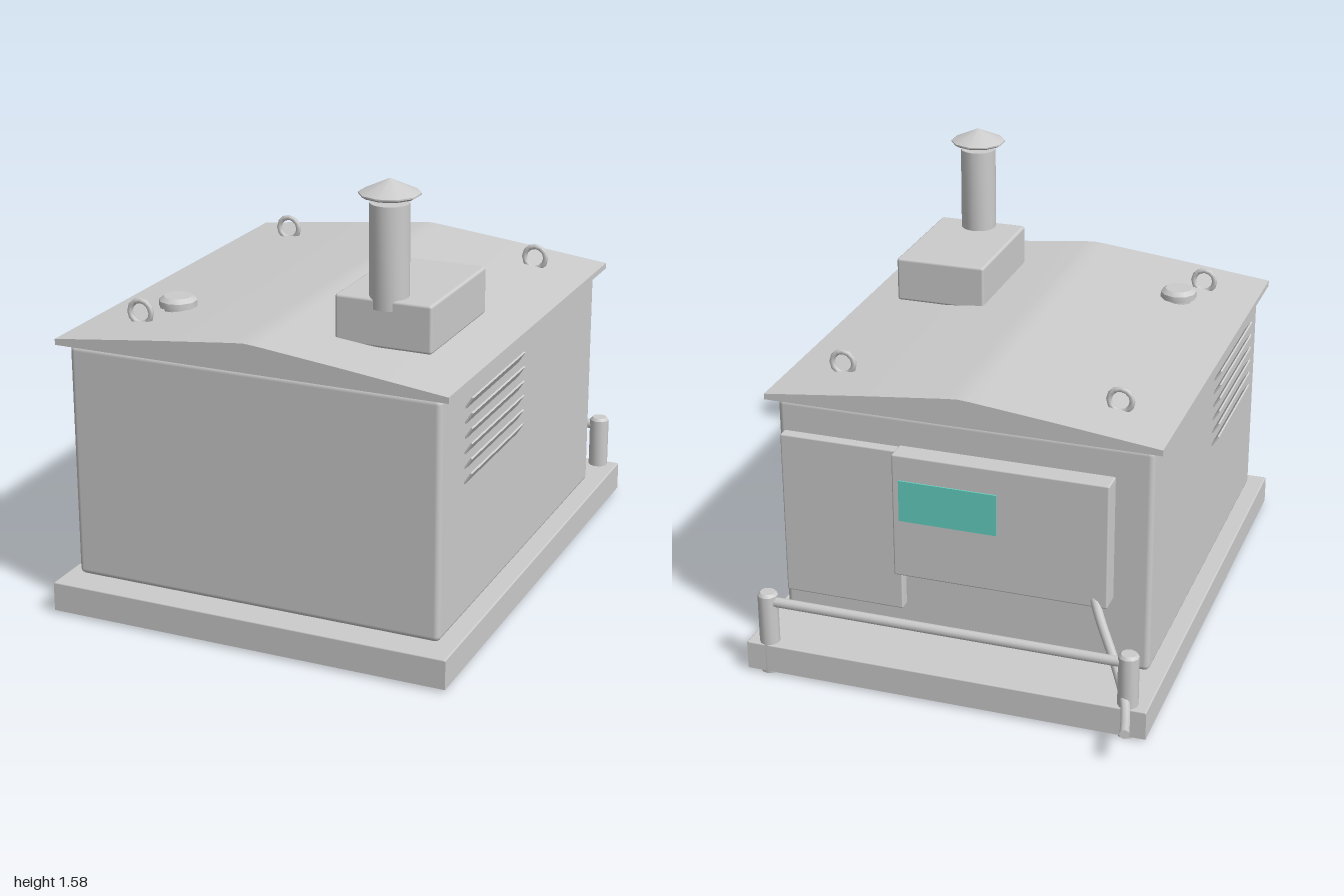
import * as THREE from 'three';
import { toCreasedNormals } from 'three/addons/utils/BufferGeometryUtils.js';
import { RoundedBoxGeometry } from 'three/addons/geometries/RoundedBoxGeometry.js';

export function createModel() {
  const model = new THREE.Group();
  model.name = 'generatorHousing';

  const grey = new THREE.MeshStandardMaterial({ color: 0xcccccc });
  grey.name = 'paintedMetalGrey';
  const teal = new THREE.MeshStandardMaterial({ color: 0x65d4c4 });
  teal.name = 'displayTeal';

  const add = (name, geometry, x = 0, y = 0, z = 0, material = grey) => {
    const mesh = new THREE.Mesh(geometry, material);
    mesh.name = name;
    mesh.position.set(x, y, z);
    model.add(mesh);
    return mesh;
  };

  // Box given by its limits on each axis, with softened edges when r > 0
  const block = (name, [x0, x1], [y0, y1], [z0, z1], r = 0, material = grey) => {
    const size = [x1 - x0, y1 - y0, z1 - z0];
    const geometry = r ? new RoundedBoxGeometry(...size, 2, r) : new THREE.BoxGeometry(...size);
    return add(name, geometry, (x0 + x1) / 2, (y0 + y1) / 2, (z0 + z1) / 2, material);
  };

  // Turned part from [radius, height] pairs, listed from the bottom up
  const turned = (name, profile, x, y, z, sides = 10) => {
    const points = profile.map(([r, h]) => new THREE.Vector2(r, h));
    const geometry = new THREE.LatheGeometry(points, sides);
    return add(name, toCreasedNormals(geometry, 0.66), x, y, z);
  };

  // Base: deck on a hollow skirt, open below
  block('baseDeck', [-0.725, 0.725], [0.1, 0.115], [-0.84, 1], 0.005);
  for (const s of [-1, 1]) {
    block('baseSideWall', [s * 0.72 - 0.005, s * 0.72 + 0.005], [0.01, 0.11], [-0.84, 1]);
  }
  block('baseFrontWall', [-0.72, 0.72], [0.01, 0.11], [0.99, 1]);
  block('baseBackWall', [-0.72, 0.72], [0.01, 0.11], [-0.84, -0.83]);

  // Main enclosure
  block('body', [-0.67, 0.67], [0.125, 0.96], [-0.61, 0.92], 0.02);

  // Low gabled roof
  const gable = new THREE.Shape([
    [-0.705, 0.965], [0.705, 0.965], [0.705, 0.986], [0.35, 1.028], [0.04, 1.062],
    [0, 1.065], [-0.04, 1.062], [-0.35, 1.028], [-0.705, 0.986],
  ].map(([x, y]) => new THREE.Vector2(x, y)));
  const roof = new THREE.ExtrudeGeometry(gable, { depth: 1.59, bevelEnabled: false });
  add('roof', toCreasedNormals(roof, 0.3), 0, 0, -0.64);

  // Slanted louvre slats on both sides
  for (const s of [-1, 1]) {
    for (let i = 0; i < 6; i++) {
      const slat = add('louvreSlat', new THREE.BoxGeometry(0.006, 0.046, 0.495),
        s * 0.682, 0.885 - i * 0.052, 0.467);
      slat.rotation.z = -s * 0.56;
    }
  }

  // Exhaust housing, stack and rain cap
  block('exhaustHousing', [0.21, 0.55], [1.025, 1.19], [0.22, 0.71], 0.01);
  turned('exhaustStack', [[0, 0], [0.066, 0], [0.066, 0.345], [0, 0.345]], 0.38, 1.155, 0.655, 16);
  turned('rainCap', [[0, 0], [0.088, 0], [0.102, 0.008], [0.102, 0.013], [0, 0.06]], 0.38, 1.52, 0.655);

  // Filler cap on the roof
  turned('fillerCap', [[0, 0], [0.05, 0], [0.05, 0.025], [0.067, 0.028], [0.067, 0.05], [0.05, 0.064], [0, 0.064]],
    -0.44, 1, 0.575);

  // Lifting eyes
  for (const [x, z] of [[-0.5, 0.73], [-0.5, -0.425], [0.5, -0.425]]) {
    add('liftingEye', new THREE.TorusGeometry(0.041, 0.01, 8, 12), x, 1.042, z);
  }

  // Rear door, control cabinet and display
  block('rearDoor', [0.21, 0.65], [0.235, 0.845], [-0.647, -0.6], 0.006);
  block('controlCabinet', [-0.54, 0.225], [0.39, 0.85], [-0.686, -0.6], 0.006);
  block('display', [-0.15, 0.2], [0.605, 0.757], [-0.691, -0.684], 0, teal);

  // Rear guard rail on two posts
  for (const x of [-0.652, 0.652]) {
    turned('railPost', [[0, 0], [0.036, 0], [0.036, 0.3], [0.027, 0.31], [0, 0.31]], x, 0, -0.805);
  }
  const rail = add('guardRail', new THREE.CylinderGeometry(0.018, 0.018, 1.3, 10), 0, 0.275, -0.808);
  rail.rotation.z = Math.PI / 2;

  // Cable running from the cabinet out over the base
  const path = new THREE.CatmullRomCurve3([
    [-0.48, 0.44, -0.66], [-0.52, 0.36, -0.7], [-0.595, 0.225, -0.76],
    [-0.645, 0.145, -0.825], [-0.67, 0.125, -0.9], [-0.695, 0.125, -1],
  ].map((p) => new THREE.Vector3(...p)));
  add('cable', new THREE.TubeGeometry(path, 24, 0.017, 8), 0, 0, 0);
  const cableEnd = add('cableEnd', new THREE.CircleGeometry(0.017, 8), -0.695, 0.125, -1);
  cableEnd.lookAt(cableEnd.position.clone().add(path.getTangent(1)));

  return model;
}
